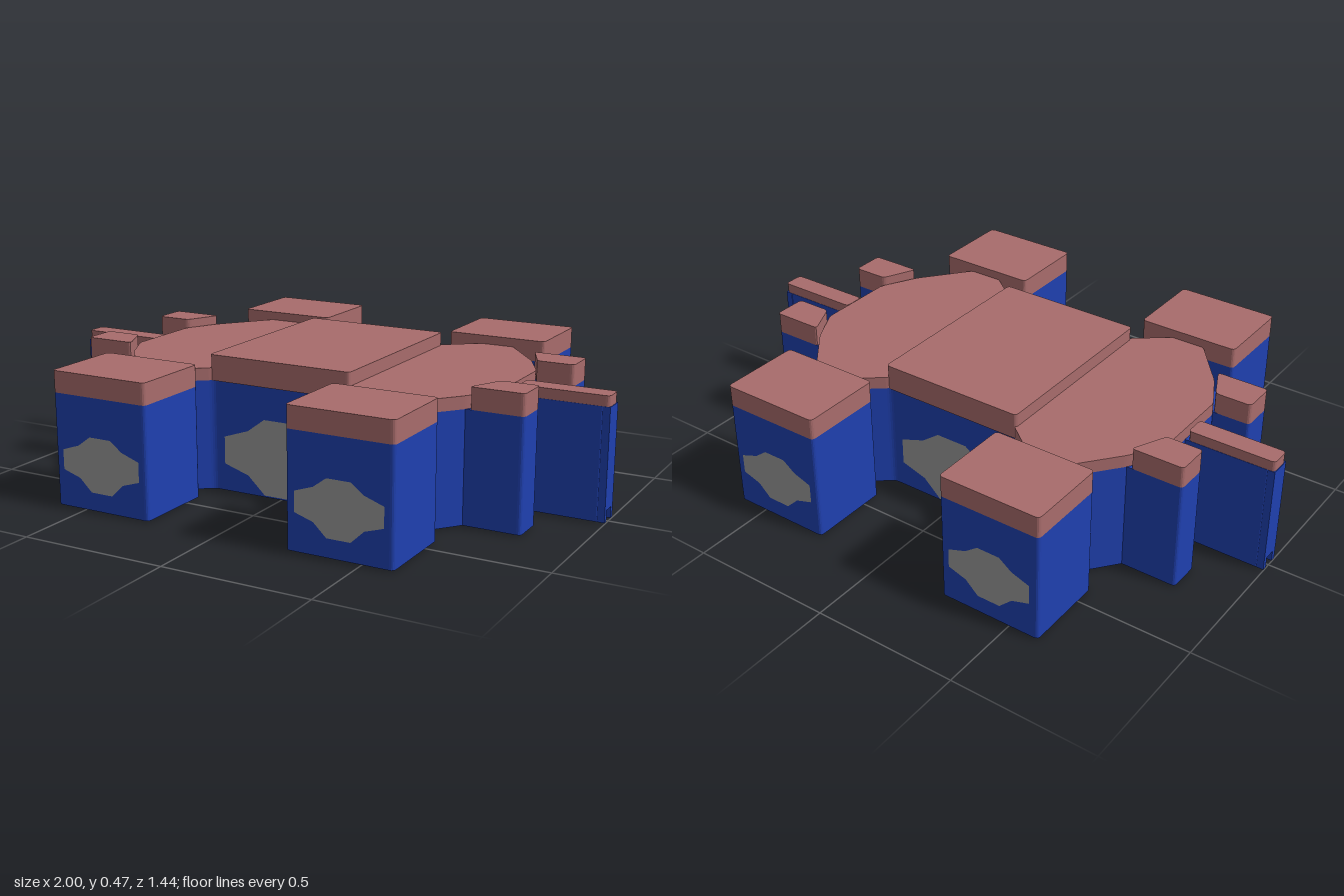
import * as THREE from 'three';

const blue = new THREE.MeshStandardMaterial({ color: 0x1f40b0 });
const brown = new THREE.MeshStandardMaterial({ color: 0xa86c6c });
const grey = new THREE.MeshStandardMaterial({ color: 0x999999 });
const BASE = 0.004, WALL = 0.378;

// Closed outline with small rounded corners
function outline(points, radius) {
  const shape = new THREE.Shape();
  const v = points.map(([x, y]) => new THREE.Vector2(x, y));
  v.forEach((p, i) => {
    const toward = (q) => {
      const d = q.clone().sub(p);
      return p.clone().add(d.setLength(Math.min(radius, d.length() / 2)));
    };
    const a = toward(v[(i + v.length - 1) % v.length]);
    const b = toward(v[(i + 1) % v.length]);
    if (i === 0) shape.moveTo(a.x, a.y); else shape.lineTo(a.x, a.y);
    shape.quadraticCurveTo(p.x, p.y, b.x, b.y);
  });
  shape.closePath();
  return shape;
}

// Upright prism over a plan outline given as [x, z]
function prism(name, plan, y0, y1, material, radius = 0.015) {
  const shape = outline(plan.map(([x, z]) => [x, -z]), radius);
  const geo = new THREE.ExtrudeGeometry(shape, { depth: y1 - y0, bevelEnabled: false, curveSegments: 4 });
  geo.rotateX(-Math.PI / 2).translate(0, y0, 0);
  const mesh = new THREE.Mesh(geo, material);
  mesh.name = name;
  return mesh;
}

const rect = (x0, x1, z0, z1) => [[x0, z0], [x1, z0], [x1, z1], [x0, z1]];
const mirror = (plan, sx, sz) => plan.map(([x, z]) => [x * sx, z * sz]);

// Flat emblem-free window panel, facing +z or -z
function panel(name, cx, z, side, w, yLow, yHigh) {
  const h = yHigh - yLow;
  const half = [[0.27, 0], [0.57, 0.23], [1, 0.34], [1, 0.7], [0.57, 0.82], [0.27, 1]];
  const pts = [...half, ...half.map(([x, y]) => [-x, y]).reverse()]
    .map(([x, y]) => new THREE.Vector2(x * w, yLow + y * h));
  const mesh = new THREE.Mesh(new THREE.ShapeGeometry(new THREE.Shape(pts)), grey);
  mesh.position.set(cx, 0, z * side);
  if (side < 0) mesh.rotation.y = Math.PI;
  mesh.name = name;
  return mesh;
}

export function createModel() {
  const model = new THREE.Group();
  model.name = 'station';

  // Main hull, traced as one quarter and mirrored round
  const quarter = [[0.25, 0.335], [0.37, 0.433], [0.49, 0.433], [0.625, 0.265], [0.69, 0.14]];
  const right = [...quarter, ...mirror(quarter, 1, -1).reverse()];
  const left = mirror(right, -1, 1).reverse();
  model.add(prism('hull', [...right, ...left], BASE, WALL, blue));

  // Raised middle roof
  model.add(prism('middleRoof', rect(-0.26, 0.26, -0.342, 0.342), WALL, 0.465, brown));

  for (const sx of [1, -1]) {
    // Lower roof over each end of the hull
    const end = [[0.25, 0.338], ...quarter.slice(1)];
    const endRoof = [...end, ...mirror(end, 1, -1).reverse()];
    model.add(prism('endRoof', mirror(endRoof, sx, 1), WALL, 0.42, brown));

    // Thin end fin with its notched tip
    model.add(prism('fin', mirror(rect(0.66, 0.975, -0.037, 0.037), sx, 1), BASE, WALL, blue, 0.004));
    const tip = new THREE.Shape([
      [-0.037, BASE], [-0.02, BASE], [-0.02, 0.042], [0.02, 0.042], [0.02, BASE],
      [0.037, BASE], [0.037, WALL], [-0.037, WALL],
    ].map(([x, y]) => new THREE.Vector2(x, y)));
    const tipGeo = new THREE.ExtrudeGeometry(tip, { depth: 0.025, bevelEnabled: false });
    tipGeo.translate(0, 0, 0.975).rotateY(sx * Math.PI / 2);
    const tipMesh = new THREE.Mesh(tipGeo, blue);
    tipMesh.name = 'finTip';
    model.add(tipMesh);
    model.add(prism('finRoof', mirror(rect(0.7, 0.998, -0.036, 0.036), sx, 1), WALL, 0.413, brown));

    for (const sz of [1, -1]) {
      // Corner towers
      const tower = mirror(rect(0.25, 0.607, 0.431, 0.717), sx, sz);
      model.add(prism('tower', tower, BASE, WALL, blue));
      model.add(prism('towerRoof', tower, WALL, 0.45, brown));
      model.add(panel('towerPanel', sx * 0.428, 0.719, sz, 0.148, 0.065, 0.248));

      // Short side arms with slanted inner roof edge
      model.add(prism('arm', mirror(rect(0.58, 0.814, 0.153, 0.27), sx, sz), BASE, WALL, blue));
      const armRoof = [[0.633, 0.27], [0.814, 0.27], [0.814, 0.153], [0.688, 0.153]];
      model.add(prism('armRoof', mirror(armRoof, sx, sz), WALL, 0.45, brown));
    }
  }

  for (const sz of [1, -1]) {
    model.add(panel('hullPanel', 0, 0.338, sz, 0.21, 0.01, 0.268));
    // Shallow runners under the hull
    model.add(prism('runner', mirror(rect(-0.25, 0.25, 0.055, 0.155), 1, sz), 0, 0.02, blue, 0.03));
  }
  return model;
}
